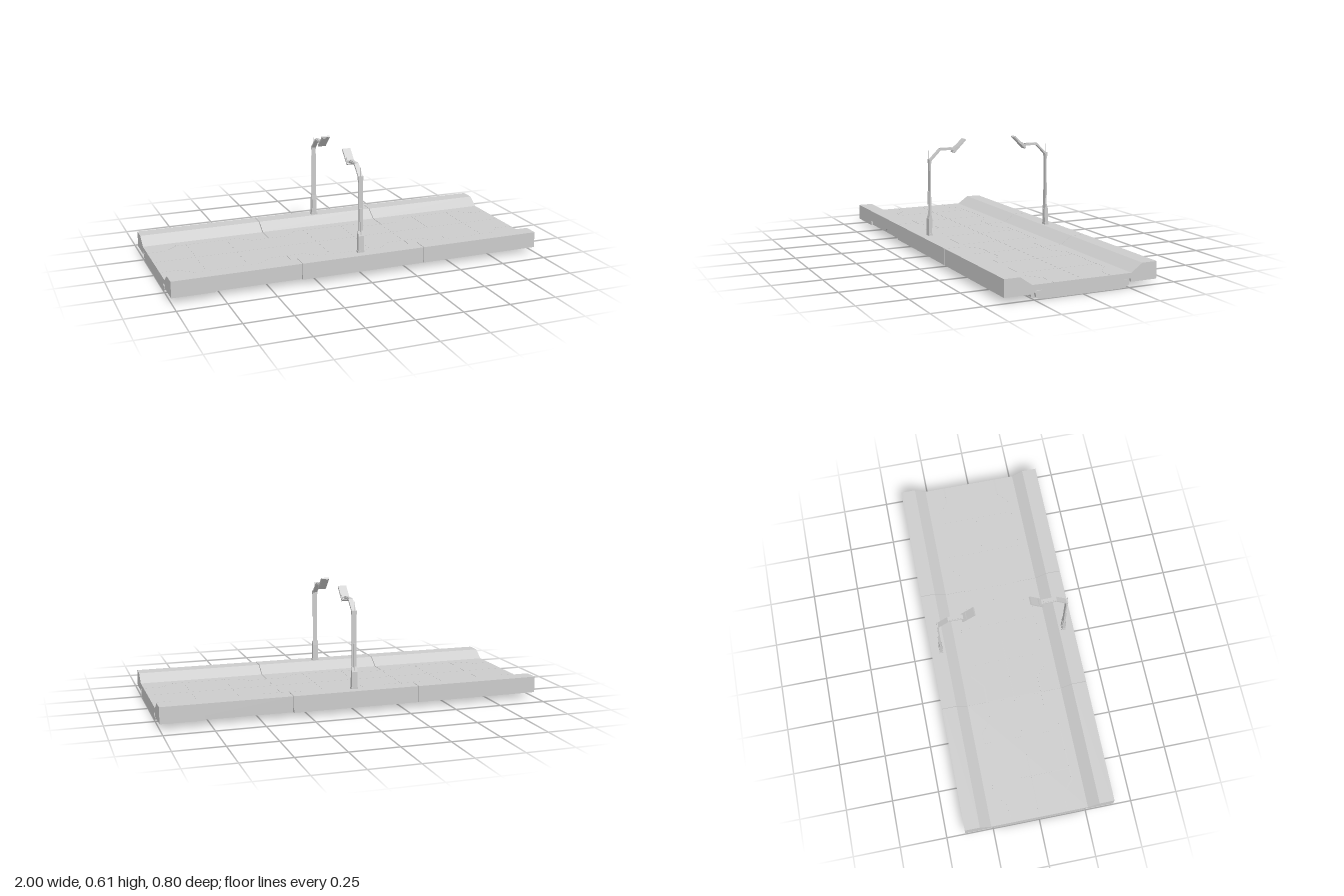
import * as THREE from 'three';

const grey = new THREE.MeshStandardMaterial({ color: 0xcccccc, flatShading: true });

function add(parent, name, geometry, x = 0, y = 0, z = 0) {
  const mesh = new THREE.Mesh(geometry, grey);
  mesh.name = name;
  mesh.position.set(x, y, z);
  parent.add(mesh);
  return mesh;
}
const box = (w, h, d) => new THREE.BoxGeometry(w, h, d);
const outline = pts => new THREE.Shape(pts.map(p => new THREE.Vector2(...p)));

// Extrudes a (z, y) cross-section along x, centred on x = 0
function section(pts, length) {
  const g = new THREE.ExtrudeGeometry(outline(pts), { depth: length, bevelEnabled: false });
  g.translate(0, 0, -length / 2);
  g.rotateY(-Math.PI / 2);
  return g;
}

// Mirrors half a (z, y) profile to the other side
const mirrored = half => [...half, ...half.slice().reverse().map(([z, y]) => [-z, y])];

const DECK = 0.07, SEG = 2 / 3, GAP = 0.004, SKIRT = 0.012;

function createDeck() {
  const deck = new THREE.Group();
  deck.name = 'deck';
  const profile = mirrored([
    [0.26, 0.043], [0.26, 0.027], [0.4 - SKIRT, 0.027],
    [0.4 - SKIRT, 0.112], [0.32, 0.112], [0.26, DECK],
  ]);
  const L = SEG - GAP / 2, h = L / 2;
  const plain = [[-h, 0.027], [h, 0.027], [h, 0.112], [-h, 0.112]];
  // Outer panel with a long stepped cut in its lower edge
  const notched = [
    [-h, 0.027], [-0.113, 0.027], [-0.113, 0.052], [0.07, 0.052], [0.09, 0.04],
    [0.13, 0.04], [0.15, 0.052], [h, 0.052], [h, 0.112], [-h, 0.112],
  ];
  for (const i of [-1, 0, 1]) {
    const x = i * (SEG + GAP / 4);
    add(deck, 'deckSegment', section(profile, L), x);
    for (const side of [1, -1]) {
      const shape = outline(i * side === -1 ? notched : plain);
      const g = new THREE.ExtrudeGeometry(shape, { depth: SKIRT, bevelEnabled: false });
      g.translate(0, 0, 0.4 - SKIRT);
      if (side < 0) g.rotateY(Math.PI);
      add(deck, 'sidePanel', g, x);
    }
  }
  // Filler behind the joints
  add(deck, 'jointCore', box(1.9, 0.022, 0.76), 0, 0.056);
  return deck;
}

// Thin raised seams and stepped strips on the road surface
function createSurfaceLines() {
  const lines = new THREE.Group();
  lines.name = 'surfaceLines';
  const H = 0.0012;
  function strip(x0, z0, x1, z1, width) {
    const m = add(lines, 'strip', box(Math.hypot(x1 - x0, z1 - z0), H, width),
      (x0 + x1) / 2, DECK, (z0 + z1) / 2);
    m.rotation.y = -Math.atan2(z1 - z0, x1 - x0);
  }
  const steps = [[-0.333, 0.15], [-0.24, 0.15], [-0.17, 0.21], [0.17, 0.21], [0.24, 0.15], [0.333, 0.15]];
  for (const i of [-1, 0, 1]) {
    for (const side of [1, -1]) {
      for (let k = 1; k < steps.length; k++) {
        const [a, b] = [steps[k - 1], steps[k]];
        strip(i * SEG + a[0], side * a[1], i * SEG + b[0], side * b[1], 0.006);
      }
    }
    for (const dx of [-0.11, 0.11]) strip(i * SEG + dx, -0.21, i * SEG + dx, 0.21, 0.002);
  }
  for (const x of [-SEG / 2, SEG / 2]) strip(x, -0.15, x, 0.15, 0.006);
  strip(-0.99, 0, 0.99, 0, 0.002);
  return lines;
}

function createUnderbody() {
  const body = new THREE.Group();
  body.name = 'underbody';
  add(body, 'underbodyCore', box(1.96, 0.031, 0.4), 0, 0.0275);
  // Rounded side fairings
  for (const s of [1, -1]) {
    const g = section([
      [0.18, 0.002], [0.215, 0.002], [0.25, 0.006], [0.258, 0.012],
      [0.261, 0.03], [0.258, 0.038], [0.24, 0.043], [0.18, 0.043],
    ], 1.97);
    if (s < 0) g.rotateY(Math.PI);
    add(body, 'sideFairing', g);
    // Rounded end plate
    add(body, 'endPlate', section(mirrored([
      [0.2, 0], [0.228, 0.004], [0.241, 0.012], [0.243, 0.03], [0.235, 0.039], [0.21, 0.043],
    ]), 0.02), s * 0.99);
  }
  // Bottom skin with four shallow sloping recesses
  const skin = new THREE.PlaneGeometry(1.97, 0.4, 98, 50);
  skin.rotateX(Math.PI / 2);
  const pos = skin.attributes.position;
  for (let i = 0; i < pos.count; i++) {
    const x = Math.abs(pos.getX(i)), z = Math.abs(pos.getZ(i));
    const inset = Math.min(x - 0.06, 0.64 - x, z - 0.02, 0.14 - z);
    pos.setY(i, 0.002 + 0.008 * THREE.MathUtils.clamp(inset / 0.025, 0, 1));
  }
  skin.computeVertexNormals();
  add(body, 'bottomSkin', skin);
  return body;
}

function createLamp() {
  const lamp = new THREE.Group();
  lamp.name = 'streetLamp';
  // Foot and tapering base
  add(lamp, 'lampFoot', box(0.036, 0.01, 0.022), 0, 0.117, 0.345);
  add(lamp, 'lampBase', section([
    [0.336, 0.112], [0.355, 0.112], [0.354, 0.2], [0.346, 0.226], [0.338, 0.226], [0.336, 0.2],
  ], 0.03));
  add(lamp, 'basePlate', box(0.018, 0.05, 0.004), 0, 0.176, 0.334);
  // Pole that bends into the arm
  add(lamp, 'poleAndArm', section([
    [0.338, 0.2], [0.345, 0.2], [0.345, 0.508], [0.285, 0.567], [0.205, 0.564],
    [0.205, 0.556], [0.282, 0.558], [0.338, 0.502],
  ], 0.024));
  add(lamp, 'elbowCollar', box(0.028, 0.02, 0.011), 0, 0.504, 0.3415);
  add(lamp, 'armCover', box(0.016, 0.005, 0.07), 0, 0.567, 0.25);
  // Service boxes on the outer face
  add(lamp, 'outerPanel', box(0.014, 0.07, 0.007), 0, 0.31, 0.3475);
  add(lamp, 'outerCable', box(0.006, 0.075, 0.008), 0, 0.24, 0.348);
  add(lamp, 'antenna', box(0.002, 0.06, 0.002), 0, 0.53, 0.344);
  // Tilted lamp head
  const head = new THREE.Group();
  head.name = 'lampHead';
  add(head, 'headCase', box(0.044, 0.009, 0.092));
  add(head, 'headSocket', box(0.036, 0.01, 0.032), 0, 0.005, 0.026);
  add(head, 'headLens', box(0.034, 0.002, 0.07), 0, -0.005, -0.004);
  head.position.set(0, 0.577, 0.178);
  head.rotation.x = Math.PI / 4;
  lamp.add(head);
  return lamp;
}

export function createModel() {
  const model = new THREE.Group();
  model.name = 'roadSection';
  model.add(createDeck(), createSurfaceLines(), createUnderbody());
  for (const angle of [0, Math.PI]) {
    const lamp = createLamp();
    lamp.rotation.y = angle;
    model.add(lamp);
  }
  return model;
}
